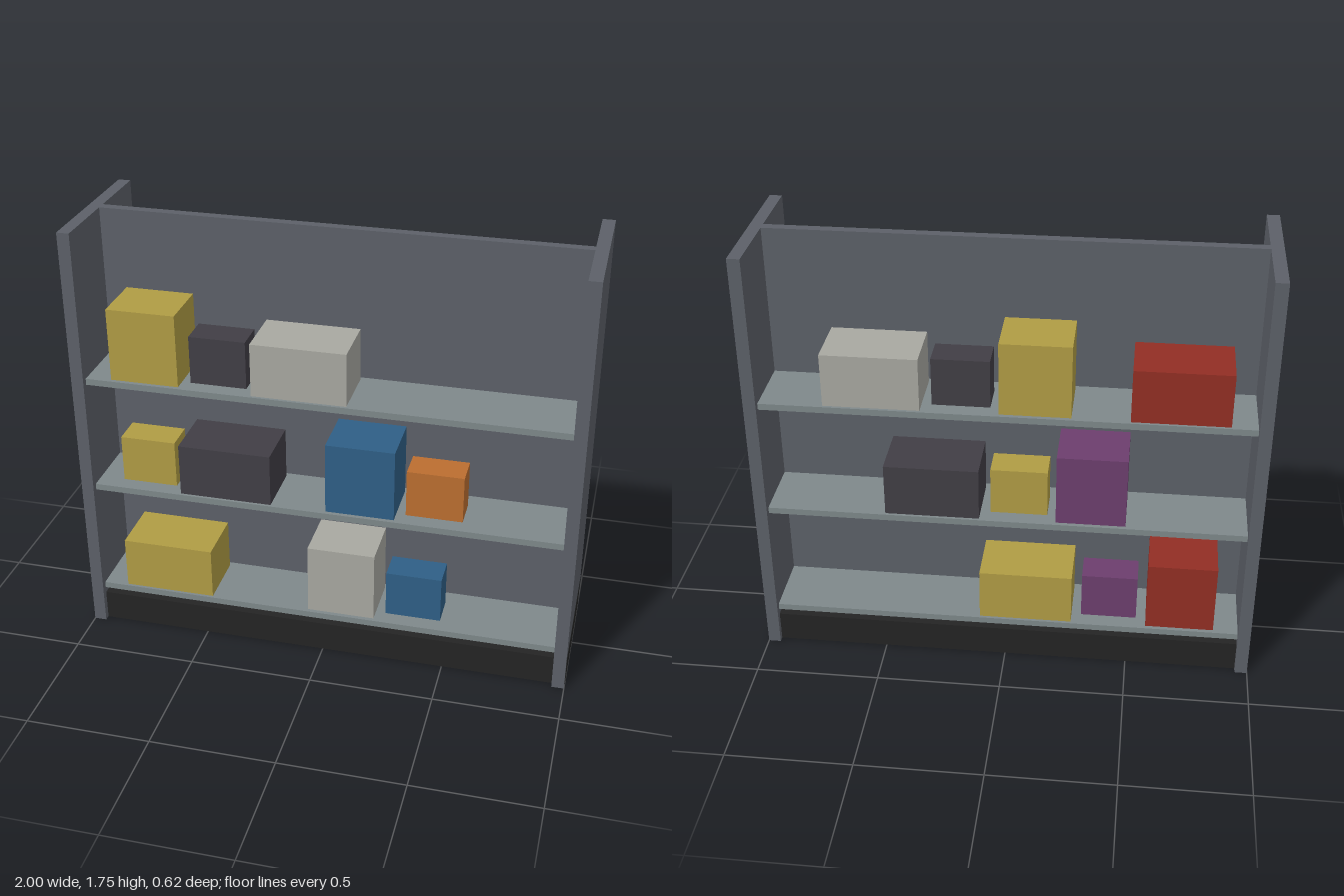
import * as THREE from 'three';

const paint = (name, color) => {
  const m = new THREE.MeshStandardMaterial({ color });
  m.name = name;
  return m;
};

export function createModel() {
  const group = new THREE.Group();
  group.name = 'shelvingUnit';

  const panel = paint('slate grey', 0x5c6068);
  const shelfGrey = paint('light grey', 0x7e888a);
  const black = paint('black', 0x242424);
  const goods = {
    yellow: paint('yellow', 0xb09c44),
    charcoal: paint('charcoal', 0x413e45),
    white: paint('off white', 0xa8a8a1),
    blue: paint('blue', 0x2f5f86),
    orange: paint('orange', 0xbb6e30),
    red: paint('red', 0x922e24),
    purple: paint('purple', 0x6c3e6e),
  };

  // Box given by its extents along each axis
  const box = (name, material, [x0, x1], [y0, y1], [z0, z1]) => {
    const mesh = new THREE.Mesh(new THREE.BoxGeometry(x1 - x0, y1 - y0, z1 - z0), material);
    mesh.position.set((x0 + x1) / 2, (y0 + y1) / 2, (z0 + z1) / 2);
    mesh.name = name;
    group.add(mesh);
  };

  // Frame: plinth, end panels and central divider
  box('plinth', black, [-0.999, 1.001], [0, 0.127], [-0.287, 0.287]);
  box('leftEndPanel', panel, [0.95, 1], [0.001, 1.75], [-0.3125, 0.3125]);
  box('rightEndPanel', panel, [-1, -0.95], [0.001, 1.75], [-0.3125, 0.3125]);
  box('divider', panel, [-0.95, 0.95], [0.127, 1.75], [-0.019, 0.019]);

  // Shelves, reaching out on both sides of the divider
  const tops = [0.178, 0.662, 1.14];
  for (const y of tops) {
    for (const s of [1, -1]) {
      const z = [0.019 * s, 0.287 * s].sort((a, b) => a - b);
      box(s > 0 ? 'frontShelf' : 'backShelf', shelfGrey, [-0.95, 0.95], [y - 0.026, y], z);
    }
  }

  // Goods come in three sizes: [width, height, depth]
  const sizes = {
    tall: [0.275, 0.298, 0.225],
    small: [0.226, 0.196, 0.128],
    wide: [0.375, 0.217, 0.235],
  };
  // Each entry: size, colour, lowest x; one list per shelf from the bottom up
  const front = [
    [['wide', 'yellow', -0.85], ['tall', 'white', -0.065], ['small', 'blue', 0.25]],
    [['small', 'yellow', -0.85], ['wide', 'charcoal', -0.588], ['tall', 'blue', 0.01], ['small', 'orange', 0.323]],
    [['tall', 'yellow', -0.85], ['small', 'charcoal', -0.54], ['wide', 'white', -0.28]],
  ];
  const back = [
    [['tall', 'red', -0.85], ['small', 'purple', -0.535], ['wide', 'yellow', -0.27]],
    [['tall', 'purple', -0.475], ['small', 'yellow', -0.163], ['wide', 'charcoal', 0.103]],
    [['wide', 'red', -0.85], ['tall', 'yellow', -0.252], ['small', 'charcoal', 0.06], ['wide', 'white', 0.325]],
  ];
  const stock = (rows, zMid) => rows.forEach((row, i) => row.forEach(([size, colour, x]) => {
    const [w, h, d] = sizes[size];
    box(`${colour}Carton`, goods[colour], [x, x + w], [tops[i], tops[i] + h], [zMid - d / 2, zMid + d / 2]);
  }));
  stock(front, 0.158);
  stock(back, -0.158);

  return group;
}
